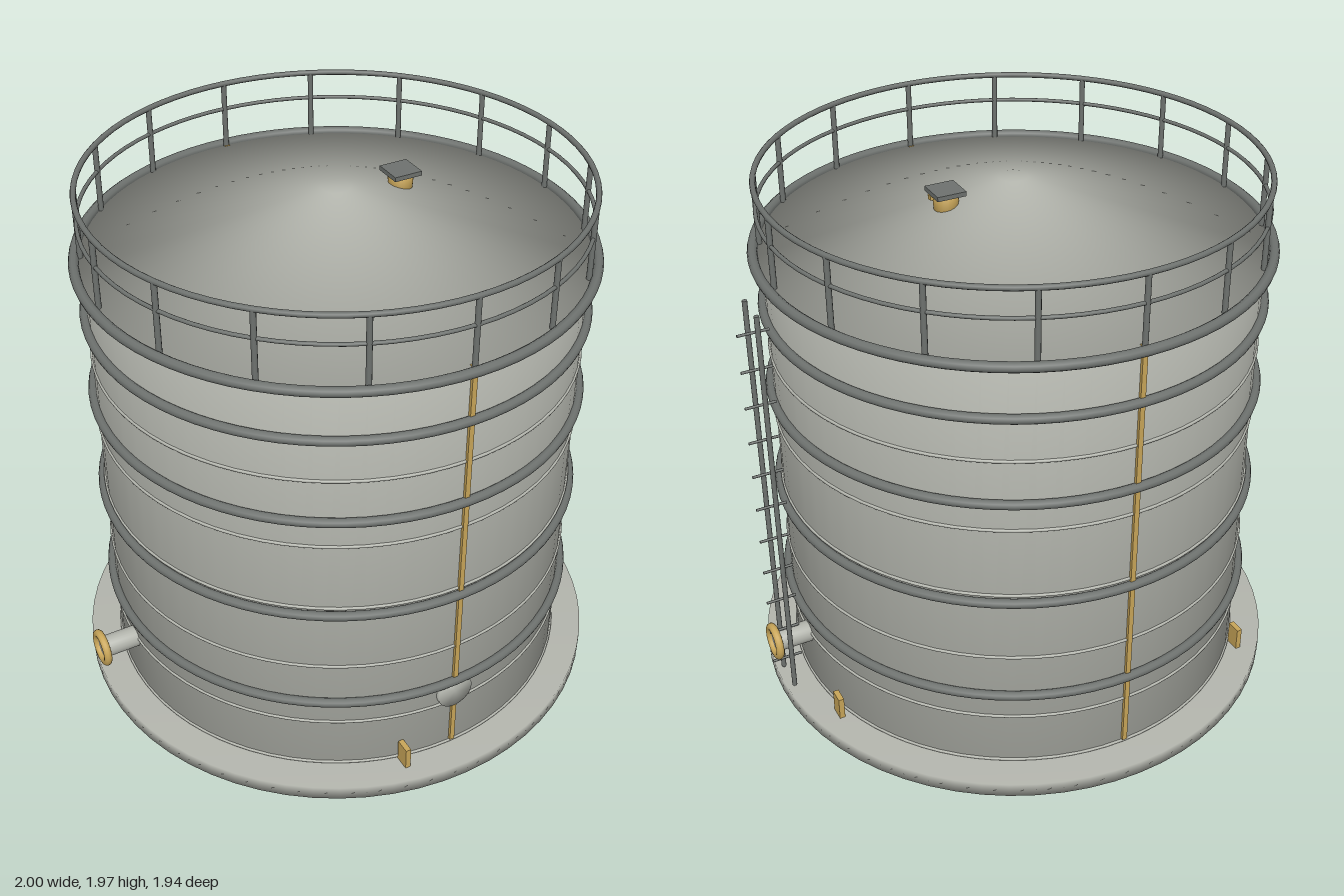
import * as THREE from 'three';
import { mergeVertices } from 'three/addons/utils/BufferGeometryUtils.js';

const paint = (name, color) => {
  const m = new THREE.MeshStandardMaterial({ color });
  m.name = name;
  return m;
};

// Closed cylinder or cone whose normals are averaged across its rims
function softCylinder(rTop, rBottom, height, sides = 64) {
  const g = new THREE.CylinderGeometry(rTop, rBottom, height, sides);
  g.deleteAttribute('normal');
  g.deleteAttribute('uv');
  const merged = mergeVertices(g);
  merged.computeVertexNormals();
  return merged;
}

export function createModel() {
  const tank = new THREE.Group();
  tank.name = 'storageTank';
  const plate = paint('pale plate steel', 0xb3b5ad);
  const steel = paint('dark steel', 0x6e726f);
  const brass = paint('brass', 0xc9a659);

  const add = (name, geometry, material, x = 0, y = 0, z = 0, parent = tank) => {
    const mesh = new THREE.Mesh(geometry, material);
    mesh.name = name;
    mesh.position.set(x, y, z);
    parent.add(mesh);
    return mesh;
  };
  const hoop = (name, radius, tube, y, material = steel, parent = tank) => {
    const mesh = add(name, new THREE.TorusGeometry(radius, tube, 10, 80), material, 0, y, 0, parent);
    mesh.rotation.x = Math.PI / 2;
    return mesh;
  };
  const group = (name) => {
    const g = new THREE.Group();
    g.name = name;
    tank.add(g);
    return g;
  };

  // Foundation, shell, roof and bottom drain
  add('basePlate', softCylinder(0.972, 0.972, 0.053), plate, 0, 0.0565, 0);
  add('shell', softCylinder(0.855, 0.855, 1.63), plate, 0, 0.895, 0);
  add('roof', softCylinder(0.05, 0.88, 0.22), plate, 0, 1.82, 0);
  add('drain', softCylinder(0.023, 0.023, 0.05, 20), steel, 0, 0.025, 0);

  // Stiffening hoops, eave ring and thin weld seams
  for (const y of [0.4, 0.805, 1.203, 1.522]) hoop('stiffenerRing', 0.865, 0.017, y);
  hoop('eaveRing', 0.883, 0.018, 1.715);
  for (const y of [0.09, 0.295, 0.563, 0.83, 1.095, 1.36]) hoop('weldSeam', 0.855, 0.006, y, plate);

  // Guard rail round the roof
  const railing = group('railing');
  hoop('topRail', 0.86, 0.01, 1.965, steel, railing);
  hoop('midRail', 0.86, 0.007, 1.866, steel, railing);
  const post = new THREE.CylinderGeometry(0.01, 0.01, 0.25, 10);
  for (let i = 0; i < 16; i++) {
    const a = (i / 16) * Math.PI * 2;
    add('railPost', post, steel, 0.86 * Math.sin(a), 1.84, 0.86 * Math.cos(a), railing);
  }

  // Vertical brass strips, front and back
  for (const side of [1, -1]) {
    add('verticalStrip', new THREE.BoxGeometry(0.018, 1.62, 0.02), brass, 0, 0.91, side * 0.856);
  }

  // Manhole cover low on the front
  add('manhole', softCylinder(0.068, 0.068, 0.05, 32), plate, 0, 0.345, 0.842).rotation.x = Math.PI / 2;

  // Pipe nozzles with brass flanges
  for (const side of [1, -1]) {
    const nozzle = group(side > 0 ? 'leftNozzle' : 'rightNozzle');
    add('pipe', softCylinder(0.04, 0.04, 0.17, 28), plate, side * 0.9, 0.282, 0, nozzle).rotation.z = Math.PI / 2;
    add('flange', new THREE.TorusGeometry(0.055, 0.015, 12, 36), brass,
      side * 0.985, 0.282, 0, nozzle).rotation.y = Math.PI / 2;
  }

  // Three anchor lugs on the base
  for (let i = 0; i < 3; i++) {
    const a = ((-13 + 120 * i) * Math.PI) / 180;
    add('anchorLug', new THREE.BoxGeometry(0.02, 0.09, 0.055), brass,
      0.885 * Math.sin(a), 0.125, 0.885 * Math.cos(a));
  }

  // Ladder on the left side, its rungs pointing outwards
  const ladder = group('ladder');
  for (const side of [1, -1]) {
    add('ladderRail', new THREE.CylinderGeometry(0.009, 0.009, 1.565, 10), steel, 0.945, 0.8825, side * 0.058, ladder);
  }
  const rung = new THREE.CylinderGeometry(0.005, 0.005, 0.11, 8);
  for (let i = 0; i < 11; i++) {
    add('ladderRung', rung, steel, 0.945, 0.19 + 0.1385 * i, 0, ladder).rotation.z = Math.PI / 2;
  }

  // Roof hatch
  const hatch = group('roofHatch');
  add('hatchNeck', softCylinder(0.045, 0.04, 0.07, 24), brass, 0.25, 1.885, 0, hatch);
  add('hatchLid', new THREE.BoxGeometry(0.104, 0.016, 0.104), steel, 0.25, 1.927, 0, hatch);
  add('hatchHinge', new THREE.BoxGeometry(0.02, 0.015, 0.02), brass, 0.296, 1.912, 0.008, hatch);

  return tank;
}
